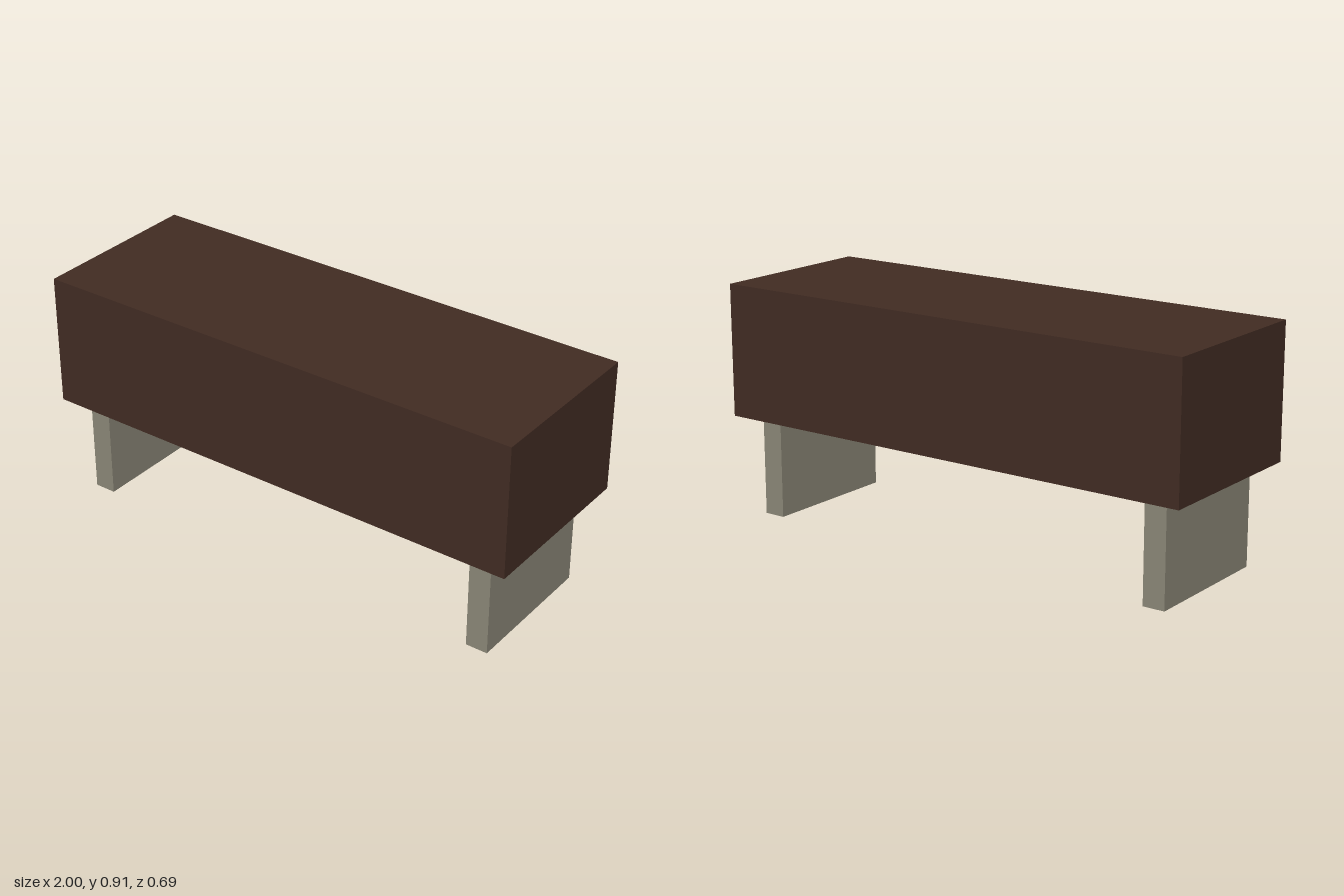
import * as THREE from 'three';

export function createModel() {
  const model = new THREE.Group();
  model.name = 'bench';

  const darkWood = new THREE.MeshStandardMaterial({ name: 'dark brown', color: 0x422c23 });
  const stone = new THREE.MeshStandardMaterial({ name: 'warm grey', color: 0x8c8878 });

  // Box between a bottom and a top height, centred on z
  function addBlock(name, x, bottom, top, width, depth, material) {
    const mesh = new THREE.Mesh(new THREE.BoxGeometry(width, top - bottom, depth), material);
    mesh.name = name;
    mesh.position.set(x, (bottom + top) / 2, 0);
    model.add(mesh);
  }

  // Long solid body
  addBlock('body', 0, 0.394, 0.913, 2, 0.694, darkWood);

  // Slab legs near each end
  addBlock('leftLeg', 0.866, 0, 0.394, 0.087, 0.564, stone);
  addBlock('rightLeg', -0.871, 0, 0.394, 0.087, 0.564, stone);

  return model;
}
